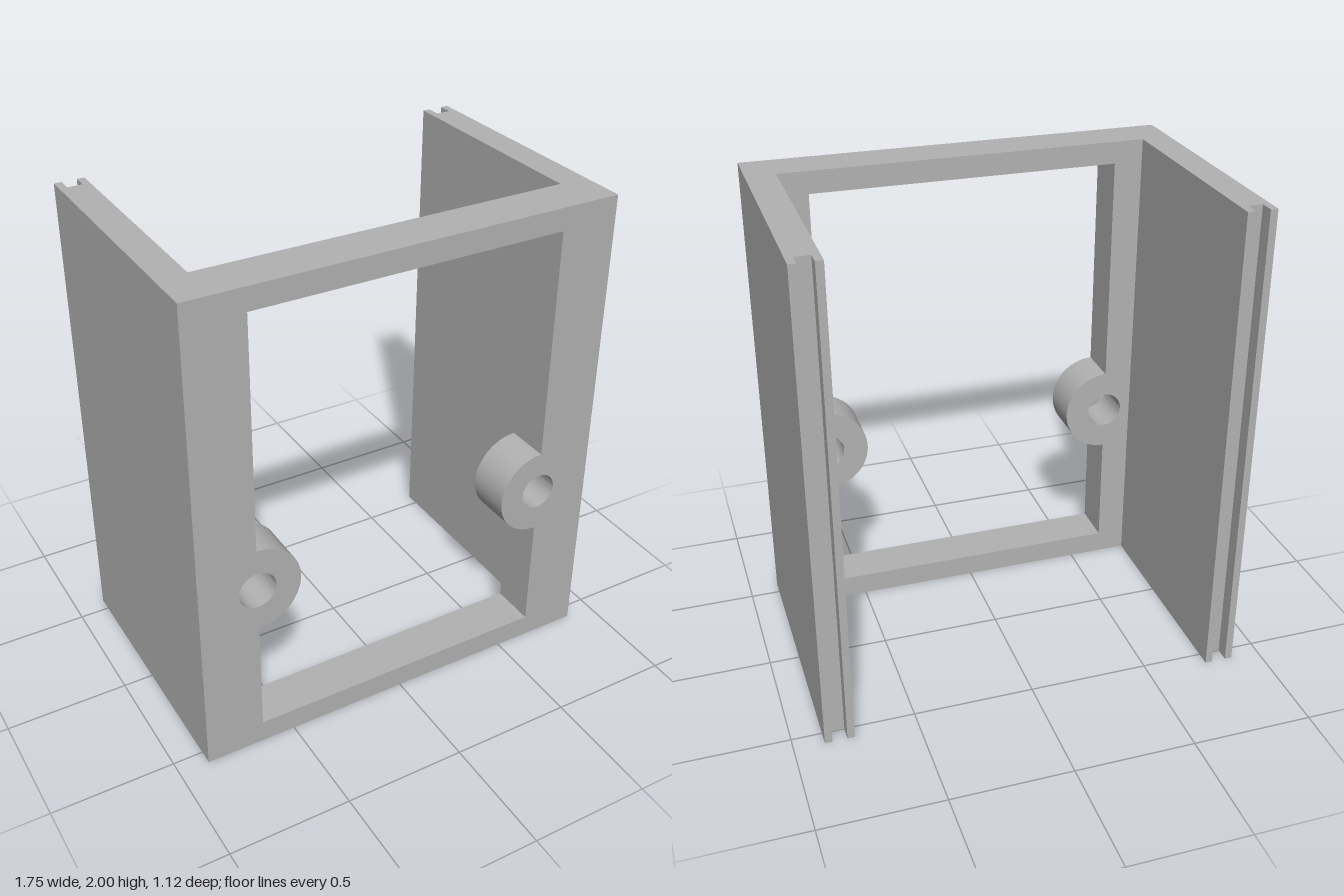
import * as THREE from 'three';
import { toCreasedNormals } from 'three/addons/utils/BufferGeometryUtils.js';

const HALF_W = 0.877, HEIGHT = 2, HALF_D = 0.56;
const PLATE_BACK = 0.375;                          // rear face of the front plate
const WALL = 0.12, PRONG = 0.03, GROOVE = 0.06;
const OPEN_X = 0.637, OPEN_BOTTOM = 0.095, OPEN_TOP = 1.908;
const BOSS_Y = 0.76, BOSS_R = 0.18, SCREW_R = 0.077;

// Front plate: window whose outline bulges round two screw bosses
function frontPlateGeometry() {
  const plate = new THREE.Shape();
  plate.moveTo(-HALF_W, 0);
  plate.lineTo(HALF_W, 0);
  plate.lineTo(HALF_W, HEIGHT);
  plate.lineTo(-HALF_W, HEIGHT);
  plate.closePath();

  const opening = new THREE.Path();
  opening.moveTo(-OPEN_X, OPEN_BOTTOM);
  opening.lineTo(-OPEN_X, BOSS_Y - BOSS_R);
  opening.absarc(-OPEN_X, BOSS_Y, BOSS_R, -Math.PI / 2, Math.PI / 2, false);
  opening.lineTo(-OPEN_X, OPEN_TOP);
  opening.lineTo(OPEN_X, OPEN_TOP);
  opening.lineTo(OPEN_X, BOSS_Y + BOSS_R);
  opening.absarc(OPEN_X, BOSS_Y, BOSS_R, Math.PI / 2, Math.PI * 1.5, false);
  opening.lineTo(OPEN_X, OPEN_BOTTOM);
  opening.closePath();
  plate.holes.push(opening);

  for (const side of [-1, 1]) {
    const hole = new THREE.Path();
    hole.absarc(side * OPEN_X, BOSS_Y, SCREW_R, 0, Math.PI * 2, true);
    plate.holes.push(hole);
  }

  const geometry = new THREE.ExtrudeGeometry(plate, {
    depth: HALF_D - PLATE_BACK, bevelEnabled: false, curveSegments: 24,
  });
  geometry.translate(0, 0, PLATE_BACK);
  return toCreasedNormals(geometry, 0.5);
}

// Side wall: plan outline with a slot in the rear edge, extruded upwards
function sideWallGeometry() {
  const outer = WALL / 2, inner = outer - PRONG;
  const back = HALF_D, slot = HALF_D - GROOVE;
  const outline = new THREE.Shape([
    [-outer, -PLATE_BACK], [outer, -PLATE_BACK], [outer, back], [inner, back],
    [inner, slot], [-inner, slot], [-inner, back], [-outer, back],
  ].map(([x, y]) => new THREE.Vector2(x, y)));
  const geometry = new THREE.ExtrudeGeometry(outline, { depth: HEIGHT, bevelEnabled: false });
  geometry.rotateX(-Math.PI / 2);
  return geometry;
}

export function createModel() {
  const model = new THREE.Group();
  model.name = 'slottedFrame';
  const grey = new THREE.MeshStandardMaterial({ color: 0xb2b2b2 });
  grey.name = 'grey';

  const plate = new THREE.Mesh(frontPlateGeometry(), grey);
  plate.name = 'frontPlate';
  model.add(plate);

  const wallGeometry = sideWallGeometry();
  for (const [name, side] of [['leftWall', 1], ['rightWall', -1]]) {
    const wall = new THREE.Mesh(wallGeometry, grey);
    wall.name = name;
    wall.position.x = side * (HALF_W - WALL / 2);
    model.add(wall);
  }
  return model;
}
